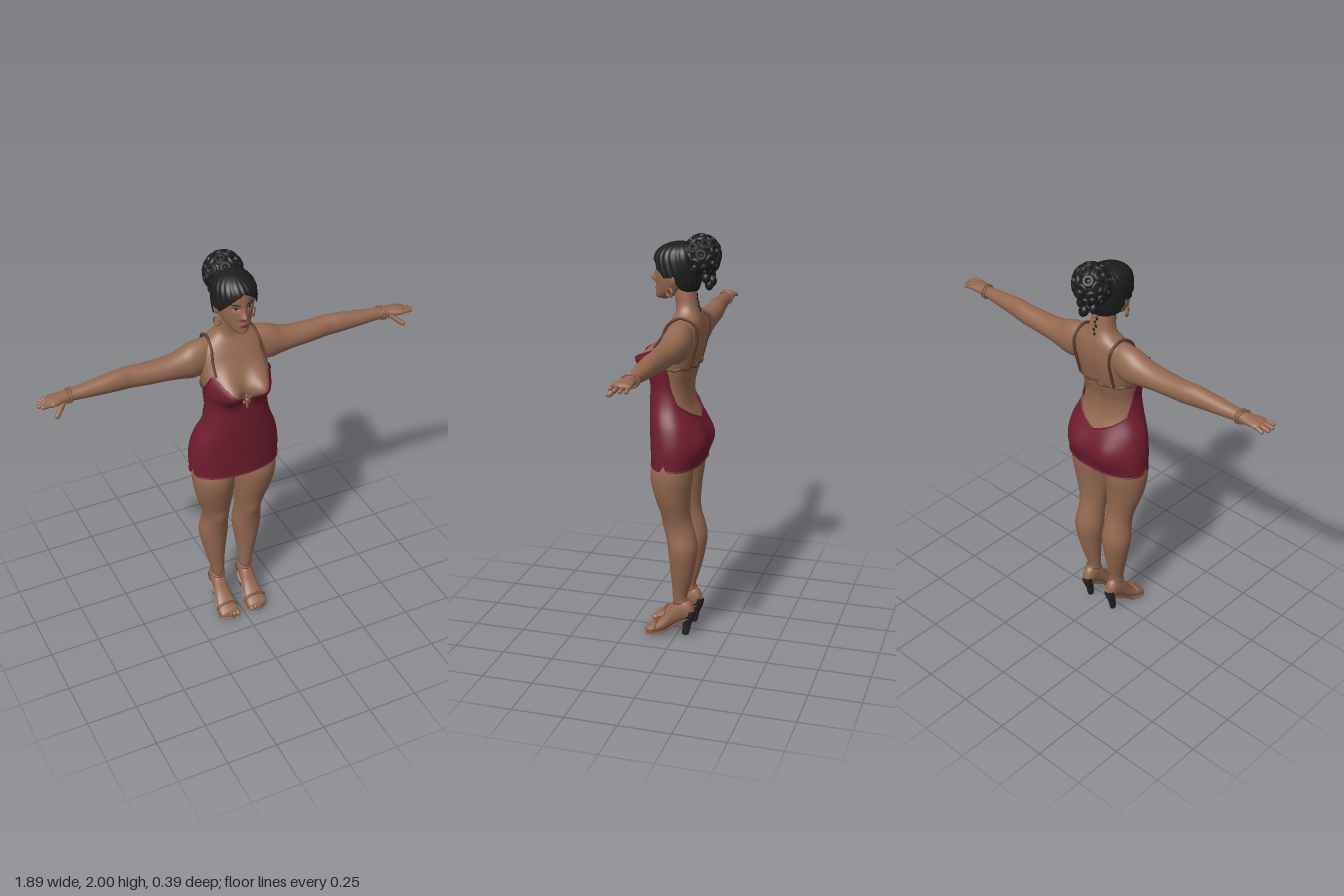
import * as THREE from 'three';

const mat = (name, color) => Object.assign(new THREE.MeshStandardMaterial({ color }), { name });
const { PI, sin, cos, exp, abs, sign, max, min } = Math;
const V = (x, y, z) => new THREE.Vector3(x, y, z);

// Smooth lookup in rows [key, a, b, ...]; returns the interpolated a, b, ...
function lookup(rows, s) {
  const n = rows.length;
  let i = 0;
  while (i < n - 2 && s > rows[i + 1][0]) i++;
  const h = rows[i + 1][0] - rows[i][0], t = min(1, max(0, (s - rows[i][0]) / h));
  const slope = (j, k) => {
    const a = rows[max(0, j - 1)], b = rows[min(n - 1, j + 1)];
    return (b[k] - a[k]) / (b[0] - a[0]);
  };
  const t2 = t * t, t3 = t2 * t;
  return rows[i].slice(1).map((v, q) => {
    const k = q + 1;
    return (2 * t3 - 3 * t2 + 1) * v + (t3 - 2 * t2 + t) * h * slope(i, k)
      + (3 * t2 - 2 * t3) * rows[i + 1][k] + (t3 - t2) * h * slope(i + 1, k);
  });
}

// Surface from sections [along, centre, half width, high, low]; bumps are
// [x, y, spread x, spread y, height, facing] and are mirrored across x
function surface(rows, axis = 'y', { e = 1, bumps = [] } = {}) {
  const f = (s, th, off = 0) => {
    const [c, r, hi, lo] = lookup(rows, s);
    const sn = sin(th), cs = cos(th);
    const a = c + (r + off) * sign(sn) * abs(sn) ** e;
    let u = (hi + lo) / 2 + ((hi - lo) / 2 + off) * sign(cs) * abs(cs) ** e;
    for (const [bx, by, sx, sy, h, face] of bumps) {
      const w = THREE.MathUtils.smoothstep(cs * face, 0, 0.35);
      for (const m of bx ? [1, -1] : [1])
        u += face * w * h * exp(-0.5 * (((a - m * bx) / sx) ** 2 + ((s - by) / sy) ** 2));
    }
    return axis === 'y' ? V(a, s, u) : axis === 'z' ? V(a, u, s) : V(s, u, a);
  };
  f.lo = rows[0][0]; f.hi = rows[rows.length - 1][0]; f.flip = axis === 'z';
  // Point on the surface at a given x and y, facing front (1) or back (-1)
  f.at = (x, y, off = 0, face = 1) => {
    const th = Math.asin(min(1, abs(x) / (lookup(rows, y)[1] + off)) ** (1 / e)) * (sign(x) || 1);
    return f(y, face > 0 ? th : PI - th, off);
  };
  return f;
}

// Closed band of quads around a surface; start and end may vary with the angle
function skinOver(f, segs, steps, { from = () => f.lo, to = () => f.hi, off = 0, ripple } = {}) {
  const pos = [], idx = [];
  for (let j = 0; j <= steps; j++) for (let i = 0; i < segs; i++) {
    const th = i / segs * 2 * PI, fold = th > PI ? 2 * PI - th : th;
    const s = from(fold) + (to(fold) - from(fold)) * j / steps;
    pos.push(...f(s, th, off + (ripple ? ripple(s, th) : 0)).toArray());
  }
  for (let j = 0; j < steps; j++) for (let i = 0; i < segs; i++) {
    const a = j * segs + i, b = j * segs + (i + 1) % segs, c = b + segs, d = a + segs;
    idx.push(...(f.flip ? [a, c, b, a, d, c] : [a, b, c, a, c, d]));
  }
  return toGeometry(pos, idx);
}

function toGeometry(pos, idx) {
  const g = new THREE.BufferGeometry();
  g.setAttribute('position', new THREE.Float32BufferAttribute(pos, 3));
  g.setIndex(idx);
  g.computeVertexNormals();
  return g;
}

// Thin oval lying on a surface
function patch(f, x0, y0, a, b, tilt = 0, off = 0.002) {
  const pos = f.at(x0, y0, off).toArray(), idx = [], n = 20;
  for (let r = 1; r <= 3; r++) for (let i = 0; i < n; i++) {
    const t = i / n * 2 * PI, dx = a * r / 3 * cos(t), dy = b * r / 3 * sin(t);
    pos.push(...f.at(x0 + dx, y0 + dy + dx * tilt, off).toArray());
  }
  for (let i = 0; i < n; i++) {
    const k = (i + 1) % n;
    idx.push(0, 1 + i, 1 + k);
    for (let r = 0; r < 2; r++) {
      const p = 1 + r * n;
      idx.push(p + i, p + n + i, p + n + k, p + i, p + n + k, p + k);
    }
  }
  return toGeometry(pos, idx);
}

const tube = (pts, r, closed = false) =>
  new THREE.TubeGeometry(new THREE.CatmullRomCurve3(pts, closed), 48, r, 8, closed);
const ball = (x, y, z, rx, ry = rx, rz = rx) =>
  new THREE.SphereGeometry(1, 20, 14).scale(rx, ry, rz).translate(x, y, z);
function capsule(a, b, r) {
  const d = b.clone().sub(a);
  const q = new THREE.Quaternion().setFromUnitVectors(V(0, 1, 0), d.clone().normalize());
  return new THREE.CapsuleGeometry(r, d.length(), 6, 10).applyQuaternion(q).translate(...a.add(b).multiplyScalar(0.5).toArray());
}

export function createModel() {
  const skin = mat('skin', 0x946850), red = mat('dress red', 0x701d2e), hairMat = mat('hair black', 0x1d1d1e);
  const strapMat = mat('strap brown', 0x5c3c2a), heelMat = mat('heel black', 0x242426), sandal = mat('sandal brown', 0x7c543f);
  const lip = mat('lip', 0x7a4438), eyeMat = mat('eye', 0xb09684), gold = mat('jewellery', 0x8a5f45);
  red.side = hairMat.side = THREE.DoubleSide;
  const model = new THREE.Group();
  const add = (name, geo, m) => {
    const mesh = new THREE.Mesh(geo, m);
    mesh.name = name;
    model.add(mesh);
  };
  // Adds a part on the left (+x) and its mirror image on the right
  const pair = (name, geo, m) => {
    const other = geo.clone().scale(-1, 1, 1), ix = other.index.array;
    for (let i = 0; i < ix.length; i += 3) [ix[i], ix[i + 1]] = [ix[i + 1], ix[i]];
    add(name + 'Left', geo, m);
    add(name + 'Right', other, m);
  };

  // Torso and neck
  const torso = surface([
    [0.9, 0, 0.215, 0.118, -0.105], [1.0, 0, 0.217, 0.122, -0.112], [1.1, 0, 0.198, 0.127, -0.095],
    [1.2, 0, 0.158, 0.131, -0.062], [1.28, 0, 0.143, 0.128, -0.06], [1.35, 0, 0.149, 0.12, -0.078],
    [1.42, 0, 0.16, 0.108, -0.096], [1.5, 0, 0.165, 0.085, -0.11], [1.56, 0, 0.158, 0.058, -0.11],
    [1.6, 0, 0.13, 0.035, -0.104], [1.63, 0, 0.085, 0.02, -0.094], [1.66, 0, 0.063, 0.02, -0.085],
    [1.72, 0, 0.055, 0.03, -0.073], [1.78, 0, 0.05, 0.04, -0.06]], 'y', {
    e: 0.88, bumps: [[0.083, 1.405, 0.047, 0.047, 0.09, 1], [0.095, 1.02, 0.06, 0.06, 0.032, -1], [0, 1.38, 0.014, 0.12, -0.01, -1]] });
  add('torso', skinOver(torso, 80, 90, { from: () => 0.94 }), skin);

  // Dress: follows the torso, with a V neck, a low open back and small side slits
  const edge = [[0, 1.355], [0.45, 1.408], [0.9, 1.475], [1.2, 1.435], [1.5, 1.385], [1.75, 1.29], [2.1, 1.21], [2.6, 1.165], [PI, 1.12]];
  const top = t => {
    const i = max(1, edge.findIndex(p => p[0] >= t - 1e-6)), [a, b] = [edge[i - 1], edge[i]];
    return a[1] + (b[1] - a[1]) * (t - a[0]) / (b[0] - a[0]);
  };
  const hem = t => 0.903 + 0.03 * exp(-(((t - 1.45) / 0.1) ** 2));
  add('dress', skinOver(torso, 144, 70, { from: hem, to: top, off: 0.008 }), red);
  const rim = fn => Array.from({ length: 72 }, (_, i) => {
    const t = i / 72 * 2 * PI;
    return torso(fn(t > PI ? 2 * PI - t : t), t, 0.008);
  });
  add('hemTrim', new THREE.TubeGeometry(new THREE.CatmullRomCurve3(rim(hem), true), 216, 0.004, 6, true), red);
  add('necklineTrim', new THREE.TubeGeometry(new THREE.CatmullRomCurve3(rim(top), true), 216, 0.004, 6, true), red);
  add('underskirt', ball(0, 0.96, 0, 0.17, 0.06, 0.085), red);

  // Shoulder straps, back band and brooch
  pair('shoulderStrap', tube([torso.at(0.128, 1.475, 0.01), torso.at(0.125, 1.53, 0.006), V(0.12, 1.585, 0.03),
    V(0.115, 1.621, -0.03), V(0.112, 1.59, -0.098), V(0.108, 1.53, -0.108),
    torso.at(0.105, 1.45, 0.006, -1), torso.at(0.105, 1.385, 0.006, -1)], 0.007), strapMat);
  add('backBand', tube(Array.from({ length: 25 }, (_, i) => torso(1.383 + 0.004 * cos(i * PI / 2), 1.5 + (2 * PI - 3) * i / 24, 0.004)), 0.006), strapMat);
  const pin = torso.at(0, 1.355, 0.012);
  add('broochCentre', ball(0, 1.355, pin.z, 0.011), gold);
  for (let i = 0; i < 5; i++) {
    const t = i / 5 * 2 * PI + PI / 2;
    add('broochPetal', ball(0.018 * cos(t), 1.355 + 0.018 * sin(t), pin.z - 0.002, 0.01, 0.01, 0.006), gold);
  }
  add('broochDrop', capsule(V(0, 1.34, pin.z), V(0, 1.315, pin.z + 0.002), 0.006), gold);

  // Arms with hands
  const arm = surface([
    [0.09, -0.035, 0.05, 1.612, 1.46], [0.15, -0.035, 0.063, 1.612, 1.432], [0.2, -0.032, 0.066, 1.602, 1.428],
    [0.25, -0.03, 0.062, 1.58, 1.44], [0.32, -0.028, 0.058, 1.565, 1.452], [0.42, -0.028, 0.052, 1.562, 1.458],
    [0.5, -0.03, 0.046, 1.566, 1.463], [0.55, -0.025, 0.044, 1.567, 1.467], [0.62, -0.02, 0.041, 1.56, 1.474],
    [0.7, -0.016, 0.036, 1.551, 1.481], [0.78, -0.012, 0.03, 1.543, 1.488], [0.82, -0.009, 0.034, 1.54, 1.492],
    [0.86, -0.004, 0.042, 1.537, 1.497], [0.893, -0.002, 0.04, 1.531, 1.5], [0.905, -0.002, 0.004, 1.52, 1.512]], 'x');
  pair('arm', skinOver(arm, 32, 80), skin);
  [[-0.033, 0.918], [-0.012, 0.934], [0.01, 0.937], [0.03, 0.926]].forEach(([z, x], i) =>
    pair('finger' + (i + 1), capsule(V(0.875, 1.518, z), V(x, 1.505 + 0.004 * i, z * 1.05), 0.0095), skin));
  pair('thumb', capsule(V(0.825, 1.507, 0.015), V(0.872, 1.472, 0.057), 0.012), skin);
  for (const x of [0.785, 0.8])
    pair('bracelet', tube(Array.from({ length: 16 }, (_, i) => arm(x + 0.006 * sin(i * PI / 8), i * PI / 8, 0.004)), 0.005, true), gold);

  // Legs
  const leg = surface([
    [0.13, 0.078, 0.03, 0.0, -0.065], [0.2, 0.077, 0.032, 0.017, -0.052], [0.27, 0.082, 0.042, 0.02, -0.07],
    [0.35, 0.088, 0.056, 0.026, -0.09], [0.47, 0.091, 0.074, 0.036, -0.108], [0.55, 0.089, 0.067, 0.05, -0.095],
    [0.6, 0.089, 0.067, 0.06, -0.08], [0.65, 0.093, 0.075, 0.07, -0.072], [0.75, 0.104, 0.095, 0.098, -0.076],
    [0.85, 0.11, 0.105, 0.116, -0.088], [0.92, 0.108, 0.102, 0.1, -0.085], [1.0, 0.1, 0.085, 0.06, -0.06]], 'y',
    { bumps: [[0.088, 0.595, 0.025, 0.025, 0.006, 1]] });
  pair('leg', skinOver(leg, 40, 70), skin);

  // Feet, toes and heeled sandals
  const foot = surface([
    [-0.09, 0.078, 0.003, 0.14, 0.13], [-0.075, 0.078, 0.026, 0.178, 0.1], [-0.035, 0.078, 0.034, 0.205, 0.082],
    [0.01, 0.078, 0.037, 0.172, 0.055], [0.05, 0.078, 0.043, 0.112, 0.024], [0.09, 0.078, 0.051, 0.07, 0.008],
    [0.125, 0.078, 0.051, 0.05, 0.006], [0.145, 0.078, 0.042, 0.036, 0.006], [0.15, 0.078, 0.003, 0.022, 0.015]], 'z');
  pair('foot', skinOver(foot, 32, 50), skin);
  for (let i = 0; i < 5; i++)
    pair('toe' + (i + 1), ball(0.04 + i * 0.019, 0.018, 0.146 - i * 0.005, 0.014 - i * 0.0012, 0.015 - i * 0.001, 0.018), skin);
  const sole = surface([
    [-0.09, 0.078, 0.015, 0.125, 0.112], [-0.04, 0.078, 0.032, 0.09, 0.076], [0.01, 0.078, 0.032, 0.06, 0.046],
    [0.06, 0.078, 0.045, 0.02, 0.008], [0.1, 0.078, 0.052, 0.013, 0], [0.14, 0.078, 0.05, 0.013, 0], [0.165, 0.078, 0.004, 0.01, 0.002]], 'z');
  pair('sole', skinOver(sole, 24, 40), sandal);
  const heel = surface([[0, 0.078, 0.002, -0.044, -0.048], [0.004, 0.078, 0.012, -0.03, -0.06],
    [0.06, 0.078, 0.015, -0.032, -0.075], [0.11, 0.078, 0.026, -0.035, -0.095], [0.14, 0.078, 0.029, -0.045, -0.097]]);
  pair('heel', skinOver(heel, 20, 24), heelMat);
  pair('ankleStrap', tube(Array.from({ length: 16 }, (_, i) => leg(0.185 - 0.012 * cos(i * PI / 8), i * PI / 8, 0.003)), 0.006, true), sandal);
  pair('toeStrap', tube(Array.from({ length: 11 }, (_, i) => foot(0.1, -1.6 + i * 0.32, 0.001)), 0.007), sandal);

  // Head with nose, eye sockets, lips and chin
  const head = surface([
    [1.683, 0, 0.004, 0.092, 0.07], [1.69, 0, 0.024, 0.112, 0.05], [1.705, 0, 0.042, 0.117, 0.02], [1.735, 0, 0.062, 0.116, -0.025],
    [1.78, 0, 0.078, 0.116, -0.06], [1.84, 0, 0.084, 0.118, -0.08], [1.9, 0, 0.078, 0.108, -0.08],
    [1.93, 0, 0.05, 0.07, -0.055], [1.945, 0, 0.004, 0.01, -0.005]], 'y', { bumps: [
    [0, 1.778, 0.011, 0.011, 0.02, 1], [0, 1.8, 0.008, 0.02, 0.011, 1], [0.012, 1.774, 0.006, 0.006, 0.005, 1],
    [0.034, 1.82, 0.016, 0.011, -0.009, 1], [0, 1.734, 0.016, 0.008, 0.007, 1], [0, 1.7, 0.018, 0.01, 0.004, 1]] });
  add('head', skinOver(head, 112, 90), skin);
  pair('eye', patch(head, 0.034, 1.817, 0.016, 0.0055, 0.12), eyeMat);
  pair('iris', patch(head, 0.034, 1.817, 0.005, 0.005, 0, 0.003), hairMat);
  pair('lashLine', patch(head, 0.035, 1.823, 0.018, 0.0022, 0.12, 0.003), hairMat);
  pair('eyebrow', patch(head, 0.036, 1.841, 0.021, 0.003, 0.15), hairMat);
  add('upperLip', patch(head, 0, 1.738, 0.021, 0.0045), lip);
  add('lowerLip', patch(head, 0, 1.729, 0.018, 0.005), lip);
  pair('ear', ball(0.088, 1.79, 0.015, 0.012, 0.03, 0.018), skin);
  pair('earring', new THREE.TorusGeometry(0.018, 0.006, 10, 24).rotateY(PI / 3).translate(0.091, 1.733, 0.03), gold);

  // Swept hair with a centre parting
  const hair = surface([
    [1.71, 0, 0.07, 0.085, -0.07], [1.75, 0, 0.09, 0.105, -0.088], [1.8, 0, 0.099, 0.122, -0.1],
    [1.86, 0, 0.1, 0.128, -0.105], [1.9, 0, 0.092, 0.119, -0.1], [1.93, 0, 0.072, 0.09, -0.085],
    [1.95, 0, 0.036, 0.045, -0.05], [1.957, 0, 0.002, 0.002, -0.002]]);
  const fringe = [[0, 1.895], [0.45, 1.868], [0.85, 1.828], [1.15, 1.798], [1.5, 1.8], [1.85, 1.75], [2.3, 1.735], [PI, 1.73]];
  add('hair', skinOver(hair, 128, 50, { from: t => lookup(fringe, t)[0], ripple: (s, t) => 0.0025 * sin(t * 22 + s * 60) * min(1, (1.957 - s) / 0.05) }), hairMat);

  // Curled bun, loose curls and nape wisps
  add('bun', ball(0, 1.895, -0.1, 0.085, 0.088, 0.075), hairMat);
  for (let i = 0; i < 34; i++) {
    const y = 1 - 2 * (i + 0.5) / 34, r = Math.sqrt(1 - y * y), t = i * 2.4;
    const n = V(r * cos(t), y, r * sin(t));
    const q = new THREE.Quaternion().setFromUnitVectors(V(0, 0, 1), n);
    add('bunCurl', new THREE.TorusGeometry(0.019, 0.012, 8, 16).applyQuaternion(q)
      .translate(n.x * 0.083, 1.895 + n.y * 0.088, -0.1 + n.z * 0.077), hairMat);
  }
  for (const [x, y, z] of [[-0.04, 1.8, -0.135], [0, 1.78, -0.15], [0.04, 1.8, -0.13], [0.02, 1.765, -0.14]])
    add('looseCurl', ball(x, y, z, 0.02, 0.026, 0.02), hairMat);
  for (let i = 0; i < 5; i++)
    add('napeWisp', ball(0.004 * (i % 2 ? 1 : -1), 1.71 - i * 0.018, torso.at(0, 1.71 - i * 0.018, 0.001, -1).z, 0.007, 0.009, 0.004), hairMat);
  return model;
}
